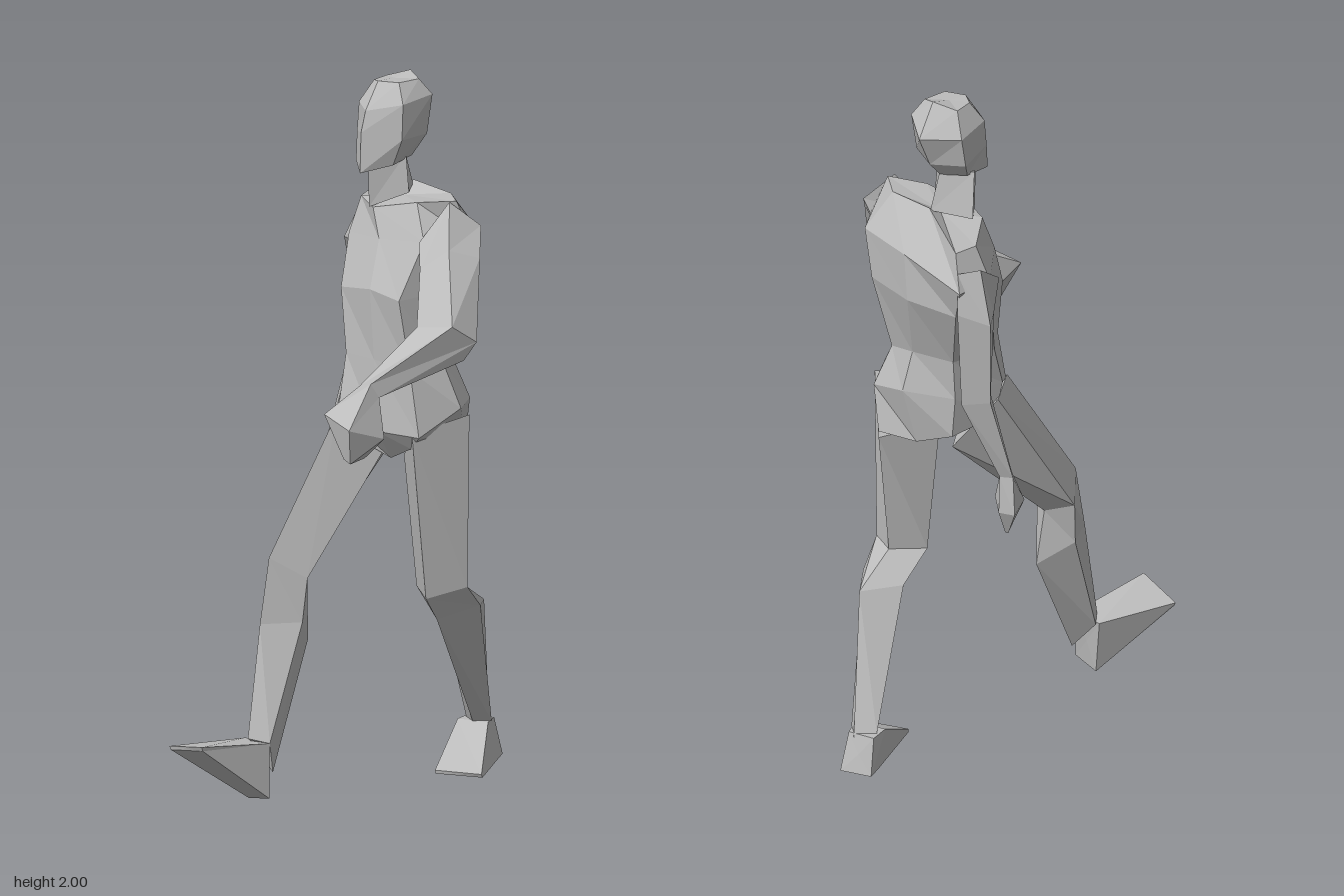
import * as THREE from 'three';

const clay = new THREE.MeshStandardMaterial({ color: 0xbcbcbc });
clay.name = 'pale grey';
clay.flatShading = true;

// Skin a closed, capped body over cross-sections that share one point order.
function loft(name, rings) {
  const v = (p) => new THREE.Vector3(...p);
  const r = rings.map((ring) => ring.map(v));
  const n = r[0].length;
  const tris = [];
  for (let i = 0; i < r.length - 1; i++) {
    for (let j = 0; j < n; j++) {
      const k = (j + 1) % n;
      tris.push([r[i][j], r[i][k], r[i + 1][k]], [r[i][j], r[i + 1][k], r[i + 1][j]]);
    }
  }
  // fan caps at both ends
  const mid = (ring) => ring.reduce((s, p) => s.add(p), new THREE.Vector3()).divideScalar(n);
  const first = r[0], last = r[r.length - 1];
  const a = mid(first), b = mid(last);
  for (let j = 0; j < n; j++) {
    const k = (j + 1) % n;
    tris.push([a, first[k], first[j]], [b, last[j], last[k]]);
  }
  // turn the faces outward
  const c = mid(r[0]).add(b).multiplyScalar(0.5);
  let volume = 0;
  for (const [p, q, s] of tris) {
    volume += p.clone().sub(c).dot(q.clone().sub(c).cross(s.clone().sub(c)));
  }
  const pos = [];
  for (const [p, q, s] of tris) {
    for (const w of volume < 0 ? [p, s, q] : [p, q, s]) pos.push(w.x, w.y, w.z);
  }
  const geo = new THREE.BufferGeometry();
  geo.setAttribute('position', new THREE.Float32BufferAttribute(pos, 3));
  geo.computeVertexNormals();
  const mesh = new THREE.Mesh(geo, clay);
  mesh.name = name;
  return mesh;
}

export function createModel() {
  const g = new THREE.Group();
  g.name = 'walkingFigure';

  // Head: front, left front, left back, back, right back, right front
  g.add(loft('head', [
    [[-0.09, 1.735, -0.08], [-0.02, 1.755, -0.14], [-0.01, 1.77, -0.22], [-0.06, 1.77, -0.25], [-0.13, 1.775, -0.22], [-0.13, 1.76, -0.12]],
    [[-0.09, 1.85, -0.085], [0.01, 1.83, -0.14], [0.02, 1.83, -0.25], [-0.055, 1.82, -0.295], [-0.145, 1.82, -0.25], [-0.14, 1.84, -0.14]],
    [[-0.085, 1.91, -0.1], [0.01, 1.93, -0.145], [0.028, 1.94, -0.265], [-0.05, 1.915, -0.34], [-0.145, 1.91, -0.27], [-0.14, 1.92, -0.15]],
    [[-0.08, 1.985, -0.155], [-0.02, 1.985, -0.17], [0, 1.985, -0.24], [-0.045, 2, -0.265], [-0.11, 1.98, -0.24], [-0.11, 1.98, -0.18]],
  ]));

  // Neck: front, left, back, right
  g.add(loft('neck', [
    [[-0.09, 1.63, -0.125], [0, 1.67, -0.19], [-0.05, 1.67, -0.285], [-0.155, 1.65, -0.23]],
    [[-0.09, 1.76, -0.12], [-0.01, 1.78, -0.19], [-0.06, 1.79, -0.25], [-0.14, 1.78, -0.2]],
  ]));

  // Torso, pelvis upward: left, left front, front, right front, right, right back, back, left back
  g.add(loft('torso', [
    [[0.13, 0.98, -0.2], [0.08, 0.97, -0.08], [0, 0.93, -0.1], [-0.08, 0.98, -0.06], [-0.17, 1, -0.14], [-0.12, 0.98, -0.28], [0, 0.93, -0.28], [0.1, 0.95, -0.32]],
    [[0.18, 1.08, -0.18], [0.12, 1.01, -0.06], [0, 1.02, -0.03], [-0.13, 1.06, -0.03], [-0.18, 1.1, -0.12], [-0.13, 1.1, -0.28], [0.02, 1.1, -0.32], [0.13, 1.08, -0.3]],
    [[0.13, 1.2, -0.17], [0.09, 1.2, -0.06], [-0.02, 1.22, -0.045], [-0.13, 1.22, -0.07], [-0.18, 1.22, -0.16], [-0.13, 1.22, -0.29], [0, 1.22, -0.3], [0.09, 1.2, -0.27]],
    [[0.16, 1.42, -0.2], [0.07, 1.4, -0.035], [-0.03, 1.42, -0.04], [-0.16, 1.4, -0.09], [-0.23, 1.42, -0.25], [-0.2, 1.42, -0.38], [-0.03, 1.42, -0.37], [0.13, 1.42, -0.31]],
    [[0.2, 1.55, -0.22], [0.11, 1.56, -0.1], [-0.04, 1.55, -0.1], [-0.18, 1.54, -0.16], [-0.26, 1.52, -0.3], [-0.24, 1.52, -0.42], [-0.02, 1.56, -0.37], [0.16, 1.56, -0.3]],
    [[0.165, 1.67, -0.18], [0.06, 1.66, -0.14], [-0.08, 1.63, -0.13], [-0.16, 1.64, -0.19], [-0.22, 1.62, -0.31], [-0.2, 1.62, -0.38], [-0.05, 1.68, -0.29], [0.1, 1.67, -0.25]],
  ]));

  // Left arm, bent forward: outer, top, inner, bottom
  const leftWrist = [[0.215, 1.21, 0.28], [0.2, 1.25, 0.3], [0.15, 1.235, 0.28], [0.18, 1.2, 0.27]];
  g.add(loft('leftArm', [
    [[0.22, 1.6, -0.22], [0.155, 1.67, -0.16], [0.1, 1.56, -0.09], [0.16, 1.47, -0.2]],
    [[0.27, 1.53, -0.14], [0.22, 1.56, -0.06], [0.14, 1.5, -0.035], [0.2, 1.42, -0.13]],
    [[0.353, 1.33, 0], [0.325, 1.385, 0.08], [0.21, 1.37, 0.085], [0.33, 1.28, 0.03]],
    leftWrist,
  ]));
  g.add(loft('leftHand', [
    leftWrist,
    [[0.245, 1.1, 0.3], [0.205, 1.14, 0.415], [0.105, 1.17, 0.39], [0.13, 1.12, 0.29]],
    [[0.2, 1.045, 0.33], [0.195, 1.04, 0.395], [0.17, 1.05, 0.39], [0.17, 1.06, 0.32]],
  ]));

  // Right arm, swung back: outer, front, inner, back
  const rightWrist = [[-0.345, 0.93, -0.31], [-0.32, 0.93, -0.28], [-0.29, 0.93, -0.29], [-0.31, 0.93, -0.325]];
  g.add(loft('rightArm', [
    [[-0.27, 1.58, -0.36], [-0.25, 1.5, -0.24], [-0.2, 1.46, -0.3], [-0.22, 1.57, -0.4]],
    [[-0.31, 1.42, -0.37], [-0.26, 1.41, -0.28], [-0.2, 1.4, -0.34], [-0.24, 1.46, -0.43]],
    [[-0.31, 1.18, -0.37], [-0.27, 1.17, -0.31], [-0.21, 1.18, -0.36], [-0.25, 1.18, -0.425]],
    rightWrist,
  ]));
  g.add(loft('rightHand', [
    rightWrist,
    [[-0.357, 0.82, -0.32], [-0.335, 0.83, -0.24], [-0.257, 0.83, -0.27], [-0.31, 0.82, -0.33]],
    [[-0.315, 0.74, -0.29], [-0.31, 0.74, -0.28], [-0.3, 0.745, -0.28], [-0.305, 0.74, -0.29]],
  ]));

  // Right leg, stepping forward: front, inner, back, outer
  g.add(loft('rightLeg', [
    [[-0.12, 1.06, -0.01], [-0.03, 0.94, -0.1], [-0.1, 0.93, -0.25], [-0.185, 1.06, -0.15]],
    [[-0.19, 0.685, 0.225], [-0.115, 0.62, 0.145], [-0.17, 0.6, 0.1], [-0.255, 0.63, 0.125]],
    [[-0.2, 0.5, 0.255], [-0.115, 0.5, 0.17], [-0.15, 0.43, 0.09], [-0.24, 0.5, 0.15]],
    [[-0.19, 0.19, 0.33], [-0.13, 0.18, 0.31], [-0.14, 0.09, 0.28], [-0.22, 0.18, 0.28]],
  ]));
  // Feet: two upper corners, then two sole corners, heel to toe
  g.add(loft('rightFoot', [
    [[-0.225, 0.18, 0.29], [-0.13, 0.18, 0.31], [-0.115, 0.03, 0.335], [-0.2, 0.015, 0.31]],
    [[-0.335, 0.185, 0.505], [-0.19, 0.212, 0.56], [-0.19, 0.2, 0.555], [-0.33, 0.175, 0.505]],
  ]));

  // Left leg, trailing: front, outer, back, inner
  g.add(loft('leftLeg', [
    [[0.1, 1.02, -0.055], [0.195, 1.06, -0.2], [0.1, 0.93, -0.32], [0.01, 0.93, -0.15]],
    [[0.1, 0.535, -0.125], [0.175, 0.56, -0.22], [0.1, 0.56, -0.27], [0.025, 0.55, -0.19]],
    [[0.09, 0.46, -0.195], [0.165, 0.49, -0.3], [0.11, 0.48, -0.4], [0.03, 0.48, -0.3]],
    [[0.035, 0.11, -0.455], [0.075, 0.11, -0.49], [0.04, 0.1, -0.53], [-0.01, 0.11, -0.49]],
  ]));
  g.add(loft('leftFoot', [
    [[-0.02, 0.11, -0.52], [0.06, 0.11, -0.525], [0.067, 0, -0.557], [-0.025, 0, -0.54]],
    [[-0.015, 0.11, -0.455], [0.08, 0.11, -0.465], [0.09, 0, -0.5], [-0.015, 0, -0.49]],
    [[0.04, 0.01, -0.26], [0.175, 0.01, -0.29], [0.175, 0, -0.295], [0.04, 0, -0.262]],
  ]));

  return g;
}
